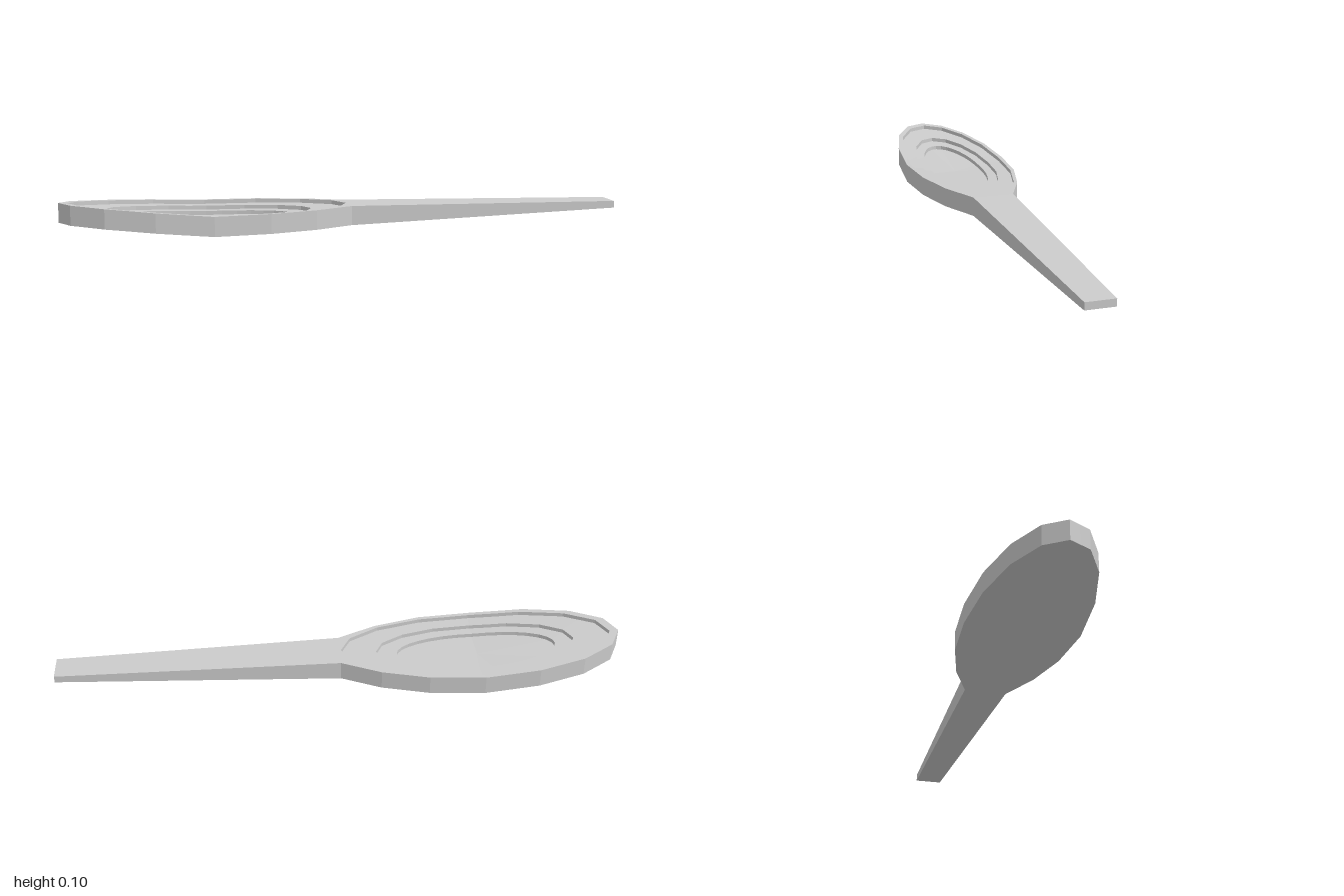
import * as THREE from 'three';

const N = 32;
const THICK = 0.068, STEP = 0.014, BOWL_X = -0.495;

// Skin a list of equal-length closed loops; a loop may be one repeated point
function loft(loops) {
  const pos = [];
  const tri = (a, b, c) => {
    if (a.distanceTo(b) > 1e-6 && b.distanceTo(c) > 1e-6 && c.distanceTo(a) > 1e-6) {
      for (const p of [a, b, c]) pos.push(p.x, p.y, p.z);
    }
  };
  for (let l = 0; l < loops.length - 1; l++) {
    const A = loops[l], B = loops[l + 1], n = A.length;
    for (let i = 0; i < n; i++) {
      const j = (i + 1) % n;
      tri(A[i], A[j], B[i]);
      tri(A[j], B[j], B[i]);
    }
  }
  const geo = new THREE.BufferGeometry();
  geo.setAttribute('position', new THREE.Float32BufferAttribute(pos, 3));
  geo.computeVertexNormals();
  return geo;
}

// The tip half of the bowl lifts gently, slightly more on its +z side
function lift(p) {
  p.y += 0.07 * Math.max(0, -0.5 - p.x) * (1 + 1.5 * p.z);
  return p;
}

// Elliptical loop with the given number of straight sides, sampled at N points
function oval(cx, rx, rz, y, sides) {
  const corner = (k) => {
    const a = (k / sides) * Math.PI * 2;
    return new THREE.Vector3(Math.min(0, cx + rx * Math.cos(a)), y, rz * Math.sin(a));
  };
  return Array.from({ length: N }, (_, i) => {
    const t = (i * sides) / N, k = Math.floor(t);
    return lift(corner(k).lerp(corner(k + 1), t - k));
  });
}

// Outer bowl outline, squared off where it meets the handle
function outline(y) {
  const pts = oval(BOWL_X, 0.505, 0.193, y, 16);
  for (const i of [2, N - 2]) pts[i].x = 0;
  for (const i of [1, 0, N - 1]) pts[i].x = 0;
  for (const [i, a, b] of [[3, 2, 4], [N - 3, N - 2, N - 4]]) pts[i].lerpVectors(pts[a], pts[b], 0.5);
  return pts;
}

export function createModel() {
  const group = new THREE.Group();
  const material = new THREE.MeshStandardMaterial({ color: 0xcccccc, flatShading: true });
  const add = (name, geo) => {
    const mesh = new THREE.Mesh(geo, material);
    mesh.name = name;
    group.add(mesh);
  };

  // Bowl: terraced hollow from its centre out to the rim, then wall and underside
  const rings = [
    [-0.49, 0.285, 0.1, 32],
    [-0.485, 0.355, 0.133, 16],
    [-0.487, 0.482, 0.178, 16],
  ];
  const loops = [oval(BOWL_X, 0, 0, THICK - 3 * STEP, 16)];
  rings.forEach(([cx, rx, rz, sides], i) => {
    const low = THICK - (3 - i) * STEP;
    loops.push(oval(cx, rx, rz, low, sides), oval(cx, rx, rz, low + STEP, sides));
  });
  loops.push(outline(THICK), outline(0), oval(BOWL_X, 0, 0, 0, 16));
  add('bowl', loft(loops));

  // Handle: rectangular bar tapering in width and thickness
  const section = (x, top, bottom, half) => [
    [top, -half], [top, half], [bottom, half], [bottom, -half],
  ].map(([y, z]) => new THREE.Vector3(x, y, z));
  add('handle', loft([
    section(0, THICK, 0, 0.074),
    section(1, 0.047, 0.022, 0.05),
    section(1, 0.0345, 0.0345, 0),
  ]));

  return group;
}
